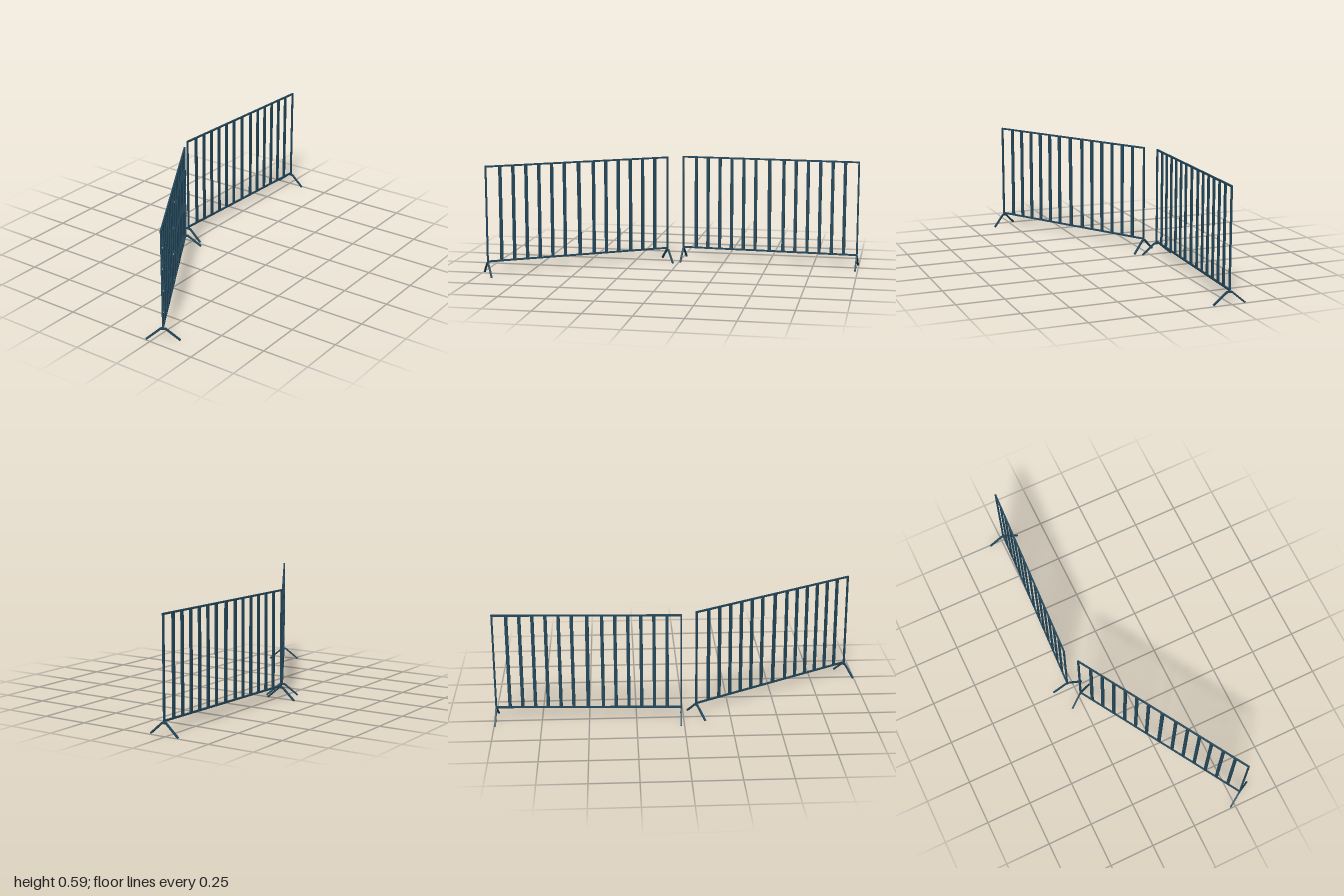
import * as THREE from 'three';

const paint = new THREE.MeshStandardMaterial({ color: 0x24485b });
paint.name = 'dark teal paint';

const TUBE = 0.009;      // thickness of frame tubes
const TOP = 0.594;       // upper edge of the top rail
const BOTTOM = 0.07;     // lower edge of the bottom rail

function box(parent, name, w, h, d, x, y) {
  const mesh = new THREE.Mesh(new THREE.BoxGeometry(w, h, d), paint);
  mesh.name = name;
  mesh.position.set(x, y, 0);
  parent.add(mesh);
  return mesh;
}

// Splayed foot: a flat-topped inverted V, set across the panel
function footGeometry() {
  const half = [[0.013, 0.069], [0.087, 0.006], [0.081, 0], [0.011, 0.059]];
  const mirrored = half.map(([u, y]) => [-u, y]).reverse();
  const shape = new THREE.Shape([...half, ...mirrored].map(([u, y]) => new THREE.Vector2(u, y)));
  const geo = new THREE.ExtrudeGeometry(shape, { depth: TUBE, bevelEnabled: false });
  geo.translate(0, 0, -TUBE / 2);
  geo.rotateY(Math.PI / 2);
  return geo;
}

// One barrier spanning two ground points (post centres)
function barrier(name, x0, z0, x1, z1) {
  const group = new THREE.Group();
  group.name = name;
  const length = Math.hypot(x1 - x0, z1 - z0);
  const midY = (TOP + BOTTOM) / 2;
  const inner = TOP - BOTTOM - 2 * TUBE;

  // Frame
  box(group, 'topRail', length + TUBE, TUBE, TUBE, 0, TOP - TUBE / 2);
  box(group, 'bottomRail', length + TUBE, TUBE, TUBE, 0, BOTTOM + TUBE / 2);
  const foot = footGeometry();
  for (const side of [-1, 1]) {
    box(group, 'endPost', TUBE, inner, TUBE, side * length / 2, midY);
    const mesh = new THREE.Mesh(foot, paint);
    mesh.name = 'foot';
    mesh.position.x = side * length / 2;
    group.add(mesh);

    // Six flat bars on each side of the middle
    for (let k = 0; k < 6; k++) {
      box(group, 'bar', 0.017, inner, 0.008, side * length * (0.08 + 0.069 * k), midY);
    }
  }
  // Middle bar leans very slightly
  box(group, 'middleBar', 0.019, inner, 0.008, 0, midY).rotation.z = 0.008;

  group.position.set((x0 + x1) / 2, 0, (z0 + z1) / 2);
  group.rotation.y = Math.atan2(z0 - z1, x1 - x0);
  return group;
}

export function createModel() {
  const model = new THREE.Group();
  model.name = 'crowdBarriers';
  model.add(barrier('angledBarrier', -0.951, 0.2945, -0.069, -0.241));
  model.add(barrier('straightBarrier', 0.014, -0.2845, 0.991, -0.2385));
  return model;
}
